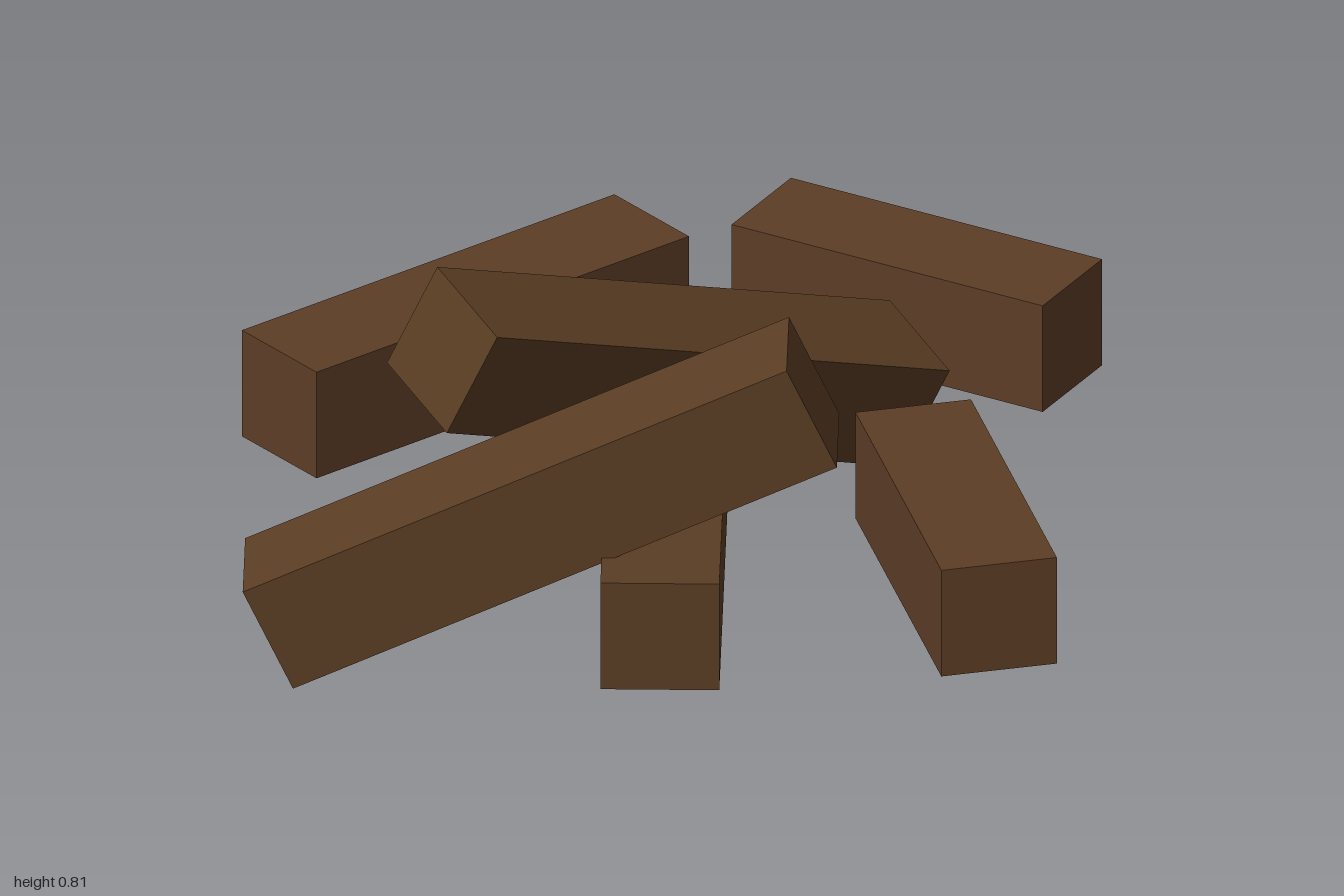
import * as THREE from 'three';

export function createModel() {
  const group = new THREE.Group();
  const longWood = new THREE.MeshStandardMaterial({ color: 0x5a3d23 });
  longWood.name = 'dark brown wood';
  const shortWood = new THREE.MeshStandardMaterial({ color: 0x5d3d26 });
  shortWood.name = 'warm brown wood';

  const THICK = 0.265;
  const deg = THREE.MathUtils.degToRad;

  // A square log along x, turned by yaw and then tilted about z
  function addLog(name, length, position, yaw, tilt, material) {
    const log = new THREE.Mesh(new THREE.BoxGeometry(length, THICK, THICK), material);
    log.name = name;
    log.position.set(...position);
    log.rotation.set(0, deg(yaw), deg(tilt), 'ZYX');
    group.add(log);
  }

  // Long logs: one flat, two leaning across it
  addLog('centreLog', 1.337, [0, 0.205, 0.33], 90, 0, longWood);
  addLog('frontLeaningLog', 1.337, [-0.27, 0.406, 0.742], 0, 25, longWood);
  addLog('crossLeaningLog', 1.337, [0, 0.408, 0.071], 35, -25, longWood);

  // Shorter logs lying around the pile
  addLog('backRightLog', 1.065, [-0.463, 0.205, -0.468], 40, 0, shortWood);
  addLog('backLeftLog', 0.8, [0.538, 0.205, -0.692], -28.8, 0, shortWood);
  addLog('leftLog', 0.8, [0.65, 0.205, 0.5], -75, 0, shortWood);

  return group;
}
